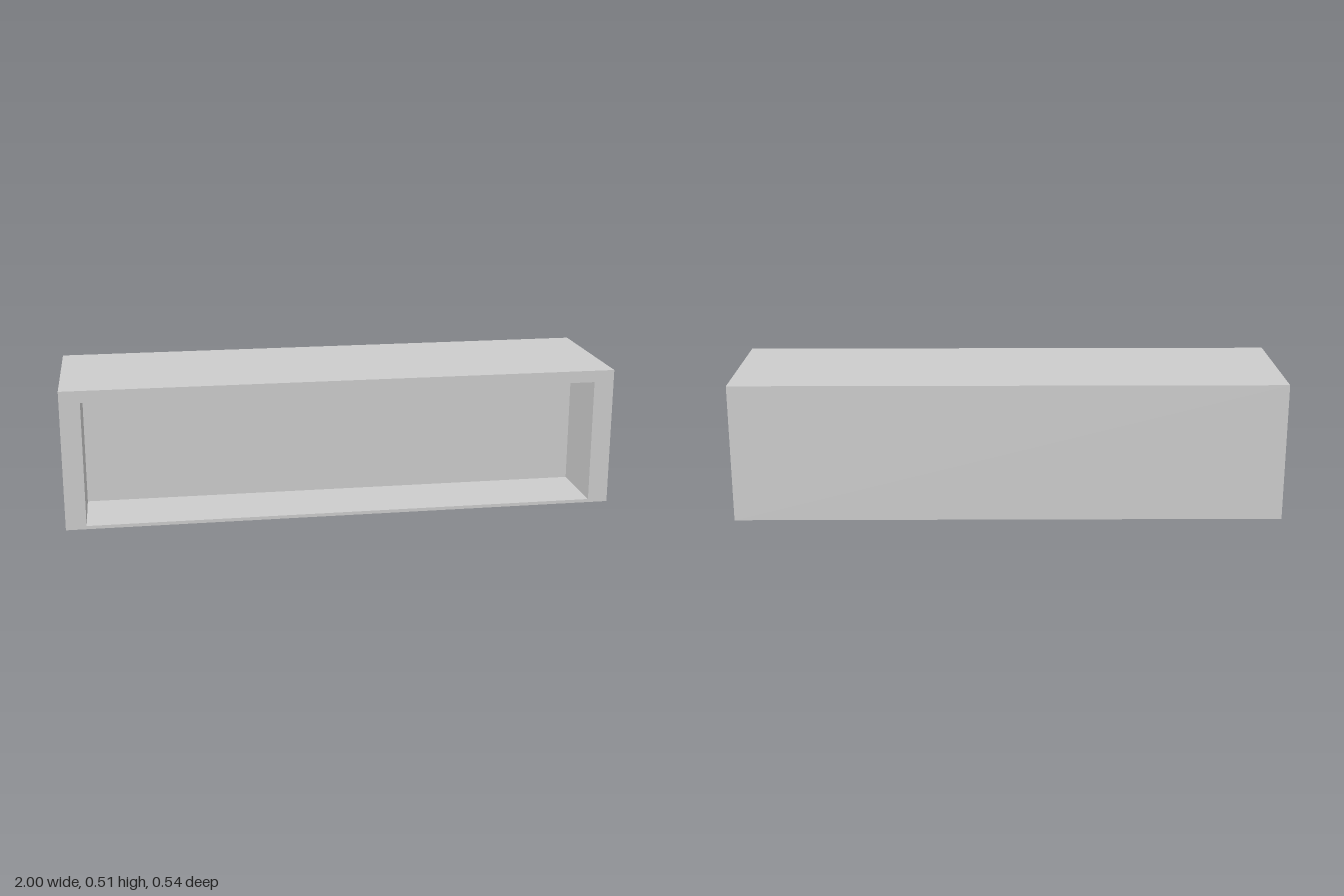
import * as THREE from 'three';

const WIDTH = 2, HEIGHT = 0.508, HALF_DEPTH = 0.272, RECESS_BACK = 0.008;

// Counter-clockwise rectangle, used for the outline and the opening
function rectangle(target, x0, y0, x1, y1) {
  target.moveTo(x0, y0);
  target.lineTo(x1, y0);
  target.lineTo(x1, y1);
  target.lineTo(x0, y1);
  target.closePath();
  return target;
}

export function createModel() {
  const group = new THREE.Group();
  group.name = 'recessedBlock';
  const material = new THREE.MeshStandardMaterial({ color: 0xcccccc, flatShading: true });

  // Front half: a rim around a wide opening with a very thin lower lip
  const outline = rectangle(new THREE.Shape(), -WIDTH / 2, 0, WIDTH / 2, HEIGHT);
  outline.holes.push(rectangle(new THREE.Path(), -0.927, 0.012, 0.927, 0.465));
  const rimGeometry = new THREE.ExtrudeGeometry(outline, {
    depth: HALF_DEPTH - RECESS_BACK,
    bevelEnabled: false,
  });
  const rim = new THREE.Mesh(rimGeometry, material);
  rim.name = 'frontRim';
  rim.position.z = RECESS_BACK;
  group.add(rim);

  // Back half: solid block whose front face closes the recess
  const backDepth = HALF_DEPTH + RECESS_BACK;
  const back = new THREE.Mesh(new THREE.BoxGeometry(WIDTH, HEIGHT, backDepth), material);
  back.name = 'backBlock';
  back.position.set(0, HEIGHT / 2, RECESS_BACK - backDepth / 2);
  group.add(back);

  return group;
}
